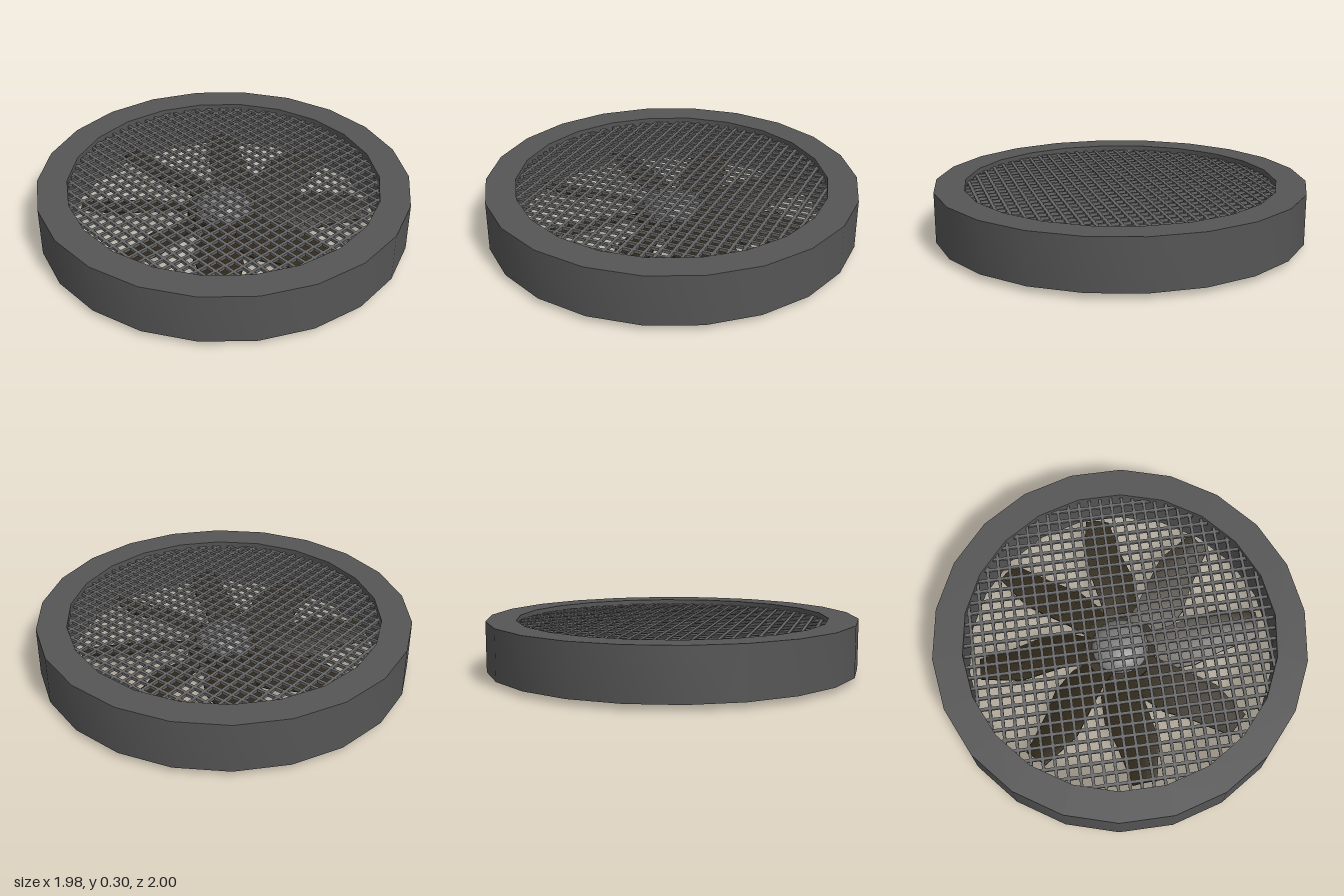
import * as THREE from 'three';
import { mergeGeometries, toCreasedNormals } from 'three/addons/utils/BufferGeometryUtils.js';

const SIDES = 22;
const BLADES = 8;

const paint = (color, side = THREE.FrontSide) => new THREE.MeshStandardMaterial({ color, side });

function addMesh(parent, name, geometry, material) {
  const mesh = new THREE.Mesh(geometry, material);
  mesh.name = name;
  parent.add(mesh);
  return mesh;
}

// Rectangular ring turned around the y axis
function ringGeometry(inner, outer, bottom, top, sides) {
  const profile = [[outer, bottom], [outer, top], [inner, top], [inner, bottom], [outer, bottom]]
    .map(([x, y]) => new THREE.Vector2(x, y));
  return toCreasedNormals(new THREE.LatheGeometry(profile, sides), 0.6);
}

// Twisted blade pointing to -z, lofted through closed cross-sections
function bladeGeometry() {
  // radius, left x, right x, left y, right y
  const sections = [
    [0.14, -0.06, 0.09, 0.12, 0.06],
    [0.25, -0.07, 0.14, 0.14, 0.04],
    [0.40, -0.10, 0.14, 0.15, 0.06],
    [0.55, -0.13, 0.09, 0.15, 0.08],
    [0.77, -0.09, 0.04, 0.14, 0.10],
  ];
  const across = 4;
  const loop = across * 2;
  const thickness = 0.012;
  const positions = [];
  const index = [];
  for (const [r, xl, xr, yl, yr] of sections) {
    for (let k = 0; k < loop; k++) {
      const under = k >= across;
      const t = (under ? loop - 1 - k : k) / (across - 1);
      const camber = 0.018 * Math.sin(Math.PI * t);
      positions.push(xl + (xr - xl) * t, yl + (yr - yl) * t + camber - (under ? thickness : 0), -r);
    }
  }
  for (let j = 0; j < sections.length - 1; j++) {
    for (let k = 0; k < loop; k++) {
      const n = (k + 1) % loop;
      const a = j * loop + k, b = j * loop + n;
      index.push(a, b, b + loop, a, b + loop, a + loop);
    }
  }
  // Root and tip caps
  const tip = (sections.length - 1) * loop;
  for (let k = 0; k < across - 1; k++) {
    const a = k, b = k + 1, c = loop - 2 - k, d = loop - 1 - k;
    index.push(a, c, b, a, d, c);
    index.push(tip + a, tip + b, tip + c, tip + a, tip + c, tip + d);
  }
  const geometry = new THREE.BufferGeometry();
  geometry.setAttribute('position', new THREE.Float32BufferAttribute(positions, 3));
  geometry.setIndex(index);
  return toCreasedNormals(geometry, 0.6);
}

// Square wire grid clipped to a circle
function grilleGeometry(radius, pitch, width, y) {
  const wires = [];
  const count = Math.floor(radius / pitch);
  for (let i = -count; i <= count; i++) {
    const offset = i * pitch;
    const length = 2 * Math.sqrt(radius * radius - offset * offset);
    wires.push(new THREE.BoxGeometry(length, width, width).translate(0, y, offset));
    wires.push(new THREE.BoxGeometry(width, width, length).translate(offset, y, 0));
  }
  return mergeGeometries(wires);
}

export function createModel() {
  const model = new THREE.Group();
  model.name = 'ventilationFan';
  const housingPaint = paint(0x555555);
  const hubPaint = paint(0x808080);
  const bladePaint = paint(0x332b1c);

  // Outer housing
  addMesh(model, 'housing', ringGeometry(0.84, 1, 0.03, 0.3, SIDES), housingPaint);

  // Protective grille near the top of the housing
  addMesh(model, 'grille', grilleGeometry(0.835, 0.0605, 0.016, 0.268), paint(0x666666));

  // Hub: lower collar, inner bearing and domed cap
  const hub = new THREE.Group();
  hub.name = 'hub';
  model.add(hub);
  addMesh(hub, 'collar', ringGeometry(0.135, 0.2, 0, 0.08, 24), hubPaint);
  addMesh(hub, 'bearing', ringGeometry(0.055, 0.09, 0.035, 0.08, 24), hubPaint);
  const dome = addMesh(hub, 'cap',
    new THREE.SphereGeometry(0.155, 24, 10, 0, Math.PI * 2, 0, Math.PI / 2), hubPaint);
  dome.scale.y = 0.66;
  dome.position.y = 0.117;

  // Rotor: central plate with pitched blades
  const rotor = new THREE.Group();
  rotor.name = 'rotor';
  model.add(rotor);
  addMesh(rotor, 'rotorPlate',
    new THREE.CylinderGeometry(0.2, 0.2, 0.045, 24).translate(0, 0.095, 0), bladePaint);
  const blade = bladeGeometry();
  for (let i = 0; i < BLADES; i++) {
    addMesh(rotor, 'blade', blade, bladePaint).rotation.y = (i / BLADES) * Math.PI * 2;
  }

  return model;
}
